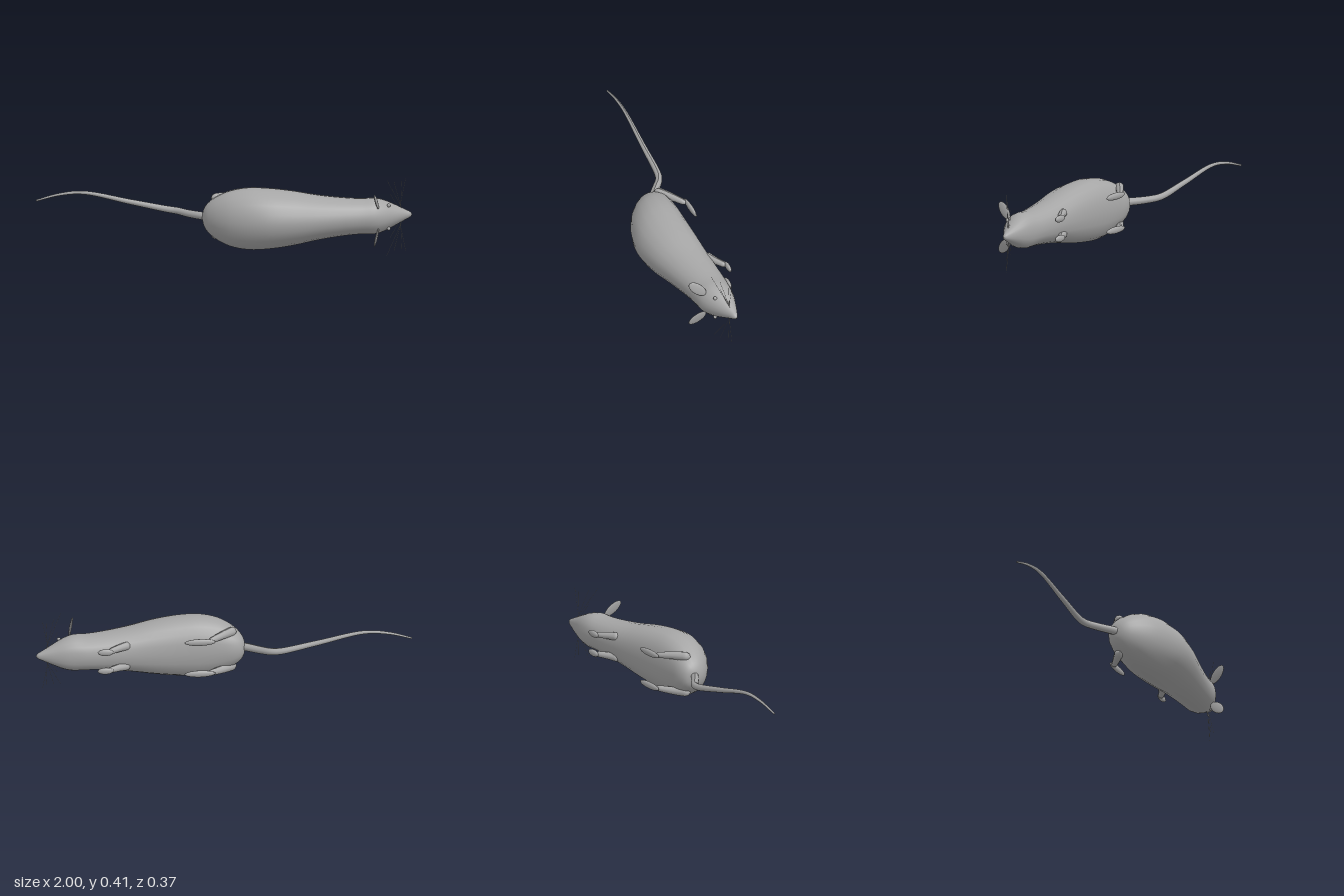
import * as THREE from 'three';

const V = (x, y, z) => new THREE.Vector3(x, y, z);
const MID = 0.208; // height of the body's plane of symmetry

export function createModel() {
  const group = new THREE.Group();
  const fur = new THREE.MeshStandardMaterial({ color: 0xa6a6a6 });
  fur.name = 'grey fur';

  function add(name, geometry) {
    const mesh = new THREE.Mesh(geometry, fur);
    mesh.name = name;
    group.add(mesh);
    return mesh;
  }

  // Tube along a curve whose radius follows a rule
  function taperedTube(points, radiusAt, steps, sides) {
    const curve = new THREE.CatmullRomCurve3(points);
    const geo = new THREE.TubeGeometry(curve, steps, 1, sides);
    const pos = geo.attributes.position;
    const v = V(0, 0, 0);
    for (let i = 0; i <= steps; i++) {
      const c = curve.getPointAt(i / steps);
      for (let j = 0; j <= sides; j++) {
        const k = i * (sides + 1) + j;
        v.fromBufferAttribute(pos, k).sub(c).multiplyScalar(radiusAt(i / steps)).add(c);
        pos.setXYZ(k, v.x, v.y, v.z);
      }
    }
    geo.computeVertexNormals();
    return geo;
  }

  // Body sections: x, half width, widest z, back z, belly z
  const sections = [
    [-0.122, 0.004, -0.04, -0.036, -0.044],
    [-0.115, 0.04, -0.04, -0.005, -0.075],
    [-0.095, 0.075, -0.03, 0.03, -0.105],
    [-0.05, 0.113, -0.015, 0.077, -0.122],
    [0.02, 0.148, -0.005, 0.125, -0.125],
    [0.12, 0.167, 0, 0.163, -0.125],
    [0.23, 0.163, 0, 0.18, -0.125],
    [0.36, 0.146, -0.005, 0.166, -0.127],
    [0.5, 0.119, -0.015, 0.13, -0.13],
    [0.64, 0.101, -0.025, 0.094, -0.133],
    [0.73, 0.095, -0.03, 0.075, -0.133],
    [0.8, 0.096, -0.035, 0.064, -0.127],
    [0.85, 0.083, -0.045, 0.042, -0.12],
    [0.91, 0.055, -0.055, 0.002, -0.105],
    [0.965, 0.027, -0.063, -0.038, -0.088],
    [0.99, 0.014, -0.066, -0.053, -0.079],
    [1.0, 0.002, -0.067, -0.065, -0.069],
  ];
  const flank = new THREE.CatmullRomCurve3(sections.map(s => V(s[0], s[1], s[2])));
  const ridge = new THREE.CatmullRomCurve3(sections.map(s => V(s[0], s[3], s[4])));
  const rings = 64, sides = 20, verts = [], faces = [];
  for (let i = 0; i <= rings; i++) {
    const f = flank.getPoint(i / rings), r = ridge.getPoint(i / rings);
    for (let j = 0; j < sides; j++) {
      const a = (j / sides) * Math.PI * 2, c = Math.cos(a), s = Math.sin(a);
      const power = s < 0 ? 0.88 : 1; // fuller belly corners
      const y = Math.sign(c) * Math.abs(c) ** power * f.y;
      const z = f.z + Math.abs(s) ** power * ((s > 0 ? r.y : r.z) - f.z);
      verts.push(f.x, MID + y, z);
      if (i < rings) {
        const p = i * sides + j, q = i * sides + ((j + 1) % sides);
        faces.push(p, q, p + sides, q, q + sides, p + sides);
      }
    }
  }
  for (let j = 1; j < sides - 1; j++) {
    const e = rings * sides;
    faces.push(0, j + 1, j, e, e + j, e + j + 1);
  }
  const body = new THREE.BufferGeometry();
  body.setAttribute('position', new THREE.Float32BufferAttribute(verts, 3));
  body.setIndex(faces);
  body.computeVertexNormals();
  add('body', body);

  // Tail
  add('tail', taperedTube([
    V(-0.07, MID, -0.035), V(-0.12, 0.212, -0.06), V(-0.19, 0.215, -0.11),
    V(-0.25, 0.222, -0.155), V(-0.3, 0.228, -0.168), V(-0.5, 0.27, -0.17),
    V(-0.75, 0.322, -0.172), V(-0.88, 0.312, -0.175), V(-1, 0.28, -0.178),
  ], t => 0.023 - 0.018 * t, 60, 10));
  const tip = add('tailTip', new THREE.SphereGeometry(0.005, 8, 6));
  tip.position.set(-0.997, 0.281, -0.178);

  // Tapered limb with rounded ends
  function limb(name, points, r0, r1) {
    add(name, taperedTube(points, t => {
      const end = Math.min(1, Math.sqrt(Math.min(t, 1 - t) * 8));
      return (r0 + (r1 - r0) * t) * Math.max(end, 0.01);
    }, 20, 10));
  }

  for (const side of [1, -1]) {
    const label = side > 0 ? 'upper' : 'lower';
    const at = (x, dy, z) => V(x, MID + side * dy, z);

    // Legs and feet
    limb(label + 'HindLeg', [at(-0.07, 0.1, -0.05), at(0, 0.1, -0.105), at(0.09, 0.092, -0.172)], 0.027, 0.015);
    limb(label + 'ForeLeg', [at(0.5, 0.06, -0.1), at(0.56, 0.057, -0.13), at(0.625, 0.054, -0.172)], 0.024, 0.015);
    for (const [name, x, dy, len] of [['HindFoot', 0.132, 0.092, 0.084], ['ForeFoot', 0.637, 0.054, 0.043]]) {
      const foot = add(label + name, new THREE.SphereGeometry(1, 14, 10));
      foot.scale.set(len, 0.019, 0.012);
      foot.position.copy(at(x, dy, -0.174));
    }

    // Ear: thin leaf leaning outward and back
    const ear = add(label + 'Ear', new THREE.SphereGeometry(1, 16, 12));
    const along = V(-0.025, side * 0.072, 0.08).normalize();
    const thin = V(1, side * 0.2, 0.13);
    thin.addScaledVector(along, -thin.dot(along)).normalize();
    const across = V(0, 0, 0).crossVectors(along, thin);
    ear.quaternion.setFromRotationMatrix(new THREE.Matrix4().makeBasis(across, along, thin));
    ear.scale.set(0.029, 0.058, 0.007);
    ear.position.copy(at(0.802, 0.097, 0.073));

    // Eye
    const eye = add(label + 'Eye', new THREE.SphereGeometry(0.01, 12, 8));
    eye.position.copy(at(0.872, 0.063, 0.001));

    // Whiskers
    const ends = [[0.86, 0.207, 0.02], [0.9, 0.19, -0.015], [0.945, 0.2, -0.045],
      [0.965, 0.198, -0.058], [0.88, 0.12, -0.025]];
    ends.forEach((e, i) => {
      const root = at(0.945 - 0.004 * i, 0.036, -0.054);
      const path = new THREE.LineCurve3(root, at(...e));
      add(label + 'Whisker' + (i + 1), new THREE.TubeGeometry(path, 1, 0.0008, 4));
    });
  }
  return group;
}
